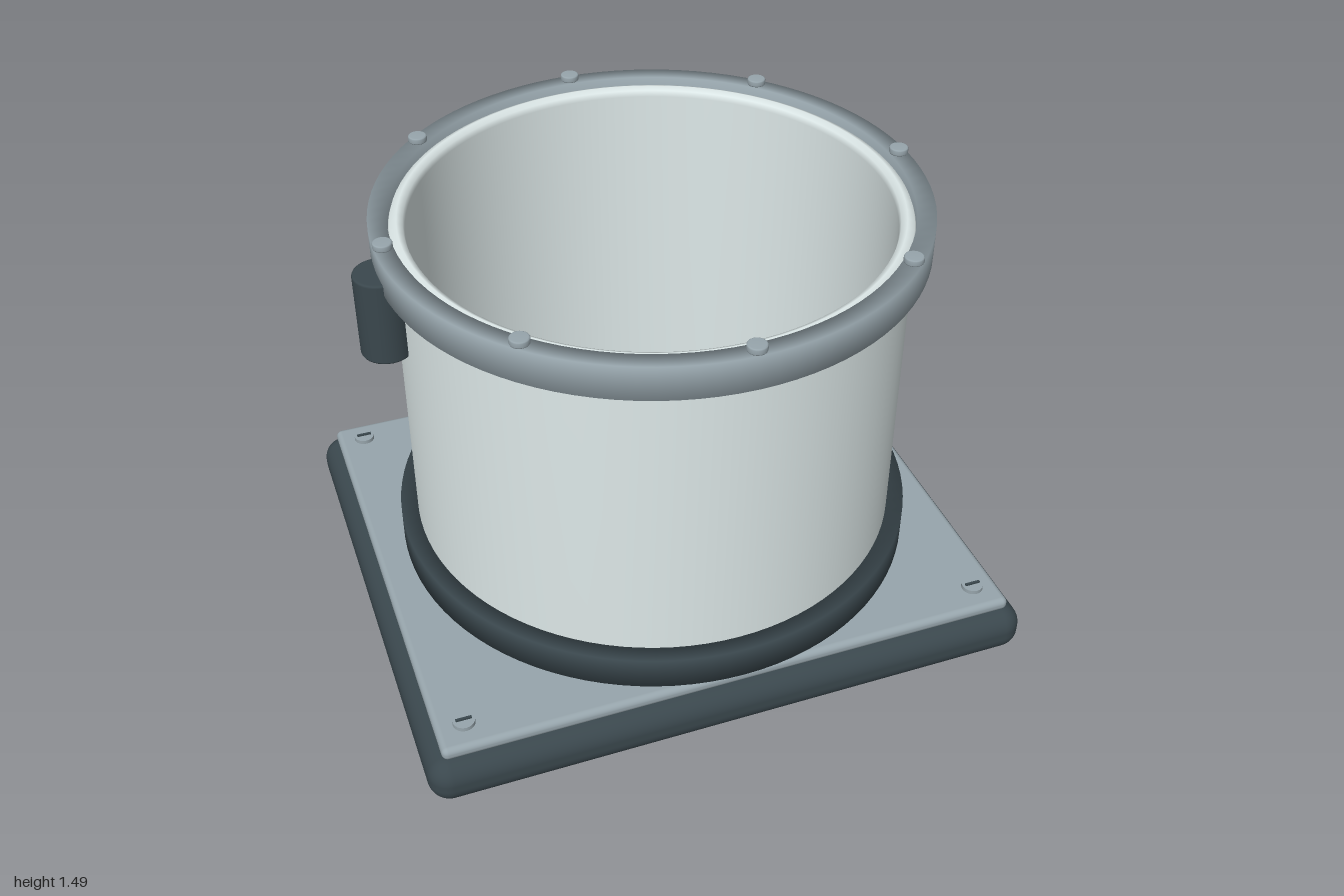
import * as THREE from 'three';
import { RoundedBoxGeometry } from 'three/addons/geometries/RoundedBoxGeometry.js';

const mat = (color) => new THREE.MeshStandardMaterial({ color });
const steel = mat(0x97a5ac);
const dark = mat(0x3a474d);
const pale = mat(0xdde8e8);

export function createModel() {
  const model = new THREE.Group();

  const add = (name, geometry, material, x = 0, y = 0, z = 0, parent = model) => {
    const mesh = new THREE.Mesh(geometry, material);
    mesh.name = name;
    mesh.position.set(x, y, z);
    parent.add(mesh);
    return mesh;
  };
  const lathe = (points, segments) =>
    new THREE.LatheGeometry(points.map(([r, y]) => new THREE.Vector2(r, y)), segments);

  // Open ring of rectangular section with softly shaded edges
  const ring = (inner, outer, y0, y1) =>
    lathe([[inner, y0], [outer, y0], [outer, y1], [inner, y1], [inner, y0]], 96);

  // Upright peg standing on y = 0, with a small rounded edge
  const peg = (r, h, e, segments = 32) =>
    lathe([[0, 0], [r - e, 0], [r - e * 0.3, e * 0.3], [r, e],
      [r, h - e], [r - e * 0.3, h - e * 0.3], [r - e, h], [0, h]], segments);

  // Base slab with a thinner plate on top
  add('baseSlab', new RoundedBoxGeometry(2, 0.16, 1.71, 6, 0.07), dark, 0, 0.09, 0);
  add('topPlate', new RoundedBoxGeometry(1.9, 0.045, 1.62, 4, 0.02), steel, 0, 0.19, 0);

  // Feet and slotted screws at the four corners
  const footGeo = new THREE.CylinderGeometry(0.09, 0.09, 0.03, 32);
  const headGeo = new THREE.CylinderGeometry(0.035, 0.035, 0.014, 24);
  const shankGeo = new THREE.CylinderGeometry(0.018, 0.018, 0.02, 16);
  const slotGeo = new THREE.BoxGeometry(0.05, 0.008, 0.008);
  for (const sx of [-1, 1]) {
    for (const sz of [-1, 1]) {
      add('foot', footGeo, dark, sx * 0.84, 0.015, sz * 0.71);
      const screw = new THREE.Group();
      screw.name = 'plateScrew';
      screw.position.set(sx * 0.86, 0, sz * 0.72);
      add('screwShank', shankGeo, steel, 0, 0.212, 0, screw);
      add('screwHead', headGeo, steel, 0, 0.225, 0, screw);
      add('screwSlot', slotGeo, dark, 0, 0.234, 0, screw);
      model.add(screw);
    }
  }

  // Open tube with thick wall and softened lips
  add('tube', lathe([
    [0.745, 0.28], [0.77, 0.265], [0.795, 0.28], [0.797, 0.3],
    [0.797, 1.42], [0.79, 1.44], [0.768, 1.45], [0.75, 1.44],
    [0.745, 1.42], [0.745, 0.28],
  ], 96), pale);

  // Collars at both ends of the tube
  add('lowerCollar', ring(0.78, 0.853, 0.25, 0.36), dark);
  add('upperCollar', ring(0.795, 0.853, 1.355, 1.467), steel);

  // Eight bolts around the upper collar
  const boltHead = peg(0.03, 0.022, 0.005, 24);
  const boltNeck = new THREE.CylinderGeometry(0.024, 0.024, 0.02, 20);
  for (let i = 0; i < 8; i++) {
    const a = (i * Math.PI) / 4;
    const bolt = new THREE.Group();
    bolt.name = 'collarBolt';
    bolt.position.set(Math.cos(a) * 0.825, 1.467, Math.sin(a) * 0.825);
    add('boltNeck', boltNeck, steel, 0, -0.004, 0, bolt);
    add('boltHead', boltHead, steel, 0, 0, 0, bolt);
    model.add(bolt);
  }

  // Upright fittings on the sides of the tube
  add('upperSideFitting', peg(0.08, 0.28, 0.008), dark, -0.845, 1.11, 0);
  add('lowerSideFitting', peg(0.07, 0.217, 0.008), steel, 0.838, 0.463, 0);

  return model;
}
